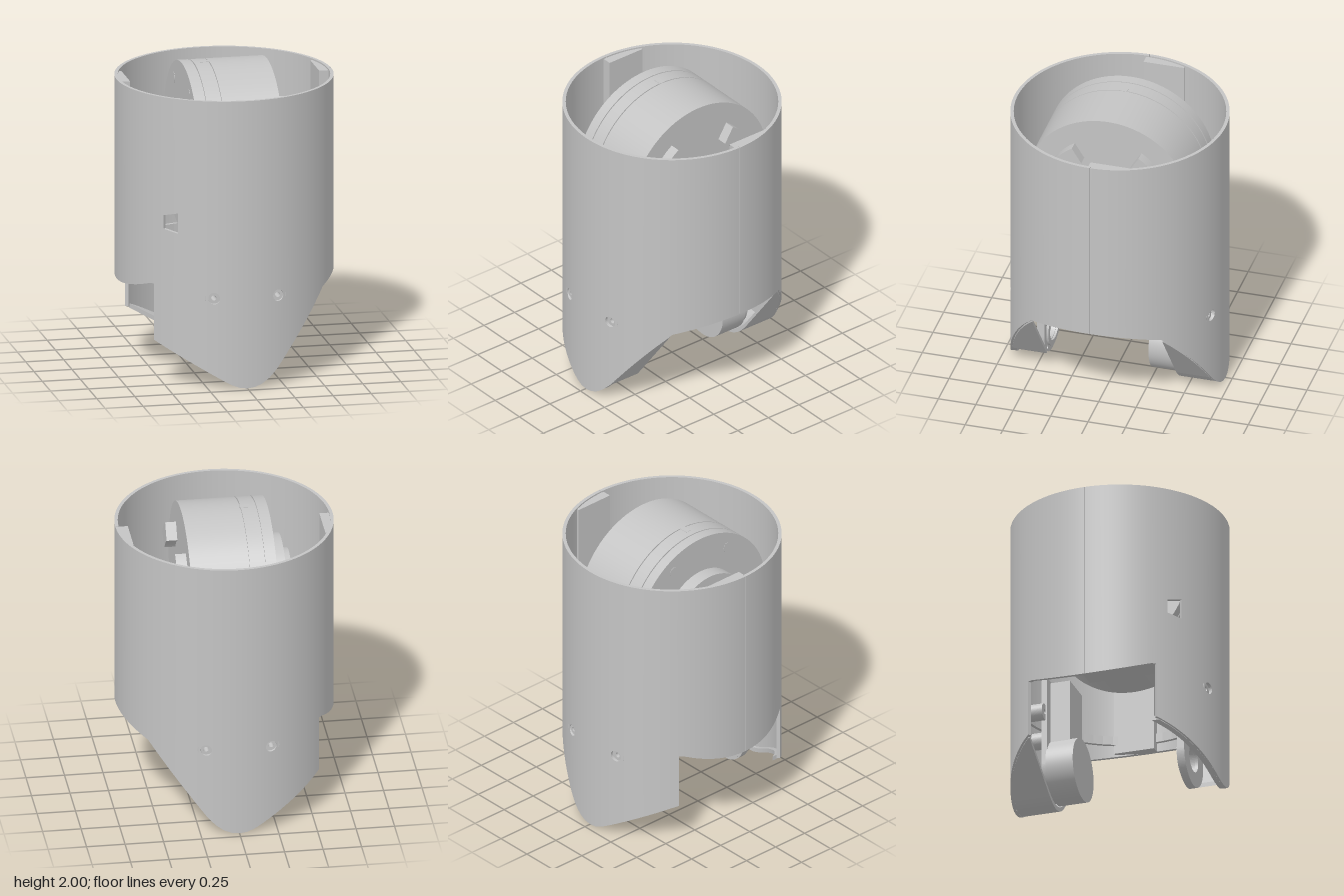
import * as THREE from 'three';
import { mergeGeometries } from 'three/addons/utils/BufferGeometryUtils.js';

const grey = new THREE.MeshStandardMaterial({ color: 0xc4c4c4, side: THREE.DoubleSide });
grey.name = 'grey';
const R = 0.705, RIN = 0.683, TOP = 1.91, DEG = Math.PI / 180;

// Lower edge of the housing as a height over x
const EDGE = [[-0.71, 0.585], [-0.58, 0.655], [-0.5551, 0.66], [-0.555, 0.285], [-0.15, 0.052], [-0.1, 0.025],
  [-0.05, 0.006], [0, 0], [0.05, 0.006], [0.1, 0.025], [0.15, 0.06], [0.2, 0.11], [0.555, 0.58], [0.71, 0.645]];
function edgeY(x) {
  for (let i = 1; i < EDGE.length; i++) {
    const [x0, y0] = EDGE[i - 1], [x1, y1] = EDGE[i];
    if (x <= x1) return y0 + (y1 - y0) * Math.max(0, (x - x0) / (x1 - x0));
  }
  return EDGE[EDGE.length - 1][1];
}

const polygon = (pts) => new THREE.Shape(pts.map((p) => new THREE.Vector2(...p)));
const circle = (x, y, r) => new THREE.Path().absarc(x, y, r, 0, Math.PI * 2, true);
function ringShape(x, y, outer, inner) {
  const s = new THREE.Shape().absarc(x, y, outer, 0, Math.PI * 2);
  s.holes.push(circle(x, y, inner));
  return s;
}

// One upright strip of the housing wall, cut flat and bent onto the cylinder
function wallStrip(a0, a1, hole) {
  const pts = [];
  for (let i = 0; i <= 4; i++) {
    const a = (a0 + 0.02 + (a1 - a0 - 0.04) * i / 4) * DEG;
    pts.push([R * (a0 + (a1 - a0) * i / 4) * DEG, edgeY(R * Math.sin(a))]);
  }
  for (let i = 4; i >= 0; i--) pts.push([R * (a0 + (a1 - a0) * i / 4) * DEG, TOP]);
  const shape = polygon(pts);
  if (hole) shape.holes.push(hole);
  const g = new THREE.ExtrudeGeometry(shape, { depth: R - RIN, bevelEnabled: false });
  const p = g.attributes.position, n = g.attributes.normal;
  for (let i = 0; i < p.count; i++) {
    const a = p.getX(i) / R, r = RIN + p.getZ(i), s = Math.sin(a), c = Math.cos(a);
    const nx = n.getX(i), nz = n.getZ(i);
    p.setXYZ(i, r * s, p.getY(i), r * c);
    n.setXYZ(i, nx * c + nz * s, n.getY(i), -nx * s + nz * c);
  }
  return g;
}

function housingGeometry() {
  const special = [];
  for (const a of [-162.6, -17.4, 17.4, 162.6]) {
    special.push({ a0: a - 4, a1: a + 4, hole: circle(R * a * DEG, 0.6, 0.038) });
  }
  const s = (x) => R * Math.asin(x / R);
  special.push({ a0: -47.5, a1: -35, hole: new THREE.Path([[-0.505, 1.035], [-0.505, 1.125], [-0.425, 1.15], [-0.425, 1.015]]
    .map(([x, y]) => new THREE.Vector2(s(x), y))) });
  const jump = Math.asin(0.555 / R) / DEG;
  const breaks = [-jump, jump - 180, -90.15, -89.85, 89.85, 90.15];
  for (let a = -180; a <= 180; a += 4) breaks.push(a);
  for (const h of special) breaks.push(h.a0, h.a1);
  const stops = breaks.filter((a) => !special.some((h) => a > h.a0 && a < h.a1)).sort((a, b) => a - b);
  const parts = [];
  for (let i = 1; i < stops.length; i++) {
    const a0 = stops[i - 1], a1 = stops[i], mid = (a0 + a1) / 2;
    if (a1 - a0 < 1e-6 || Math.abs(Math.abs(mid) - 90) < 0.1) continue; // seam gap
    parts.push(wallStrip(a0, a1, special.find((h) => mid > h.a0 && mid < h.a1)?.hole));
  }
  return mergeGeometries(parts);
}

// Sheet along the lower edge, from the wall in to the depth given by inner(x)
function skirtGeometry(x0, x1, side, inner) {
  const pos = [], rows = [], t = 0.03, n = 36;
  for (let i = 0; i <= n; i++) {
    const x = x0 + (x1 - x0) * i / n, y = edgeY(x) + 0.002;
    const zo = side * Math.max(0.435, Math.sqrt(0.69 * 0.69 - x * x)), zi = side * inner(x);
    rows.push([[x, y, zi], [x, y, zo], [x, y + t, zo], [x, y + t, zi]]);
  }
  const quad = (a, b, c, d) => pos.push(...a, ...b, ...c, ...a, ...c, ...d);
  for (let i = 0; i < n; i++) for (let k = 0; k < 4; k++) {
    quad(rows[i][k], rows[i][(k + 1) % 4], rows[i + 1][(k + 1) % 4], rows[i + 1][k]);
  }
  quad(...rows[0]);
  quad(...rows[n]);
  const g = new THREE.BufferGeometry();
  g.setAttribute('position', new THREE.Float32BufferAttribute(pos, 3));
  g.computeVertexNormals();
  return g;
}

// Plate with a round lower end
function platePanel(w, cy, top) {
  const s = new THREE.Shape();
  s.moveTo(w, top);
  s.lineTo(-w, top);
  s.lineTo(-w, cy);
  s.absarc(0, cy, w, Math.PI, Math.PI * 2, false);
  s.lineTo(w, top);
  return s;
}

export function createModel() {
  const model = new THREE.Group();
  const add = (name, geo, x = 0, y = 0, z = 0, parent = model) => {
    const m = new THREE.Mesh(geo, grey);
    m.name = name;
    m.position.set(x, y, z);
    parent.add(m);
    return m;
  };
  const box = (name, w, h, d, x, y, z, parent) => add(name, new THREE.BoxGeometry(w, h, d), x, y, z, parent);
  const discX = (name, r, x0, x1, y, z, parent, seg = 96) =>
    add(name, new THREE.CylinderGeometry(r, r, x1 - x0, seg).rotateZ(Math.PI / 2), (x0 + x1) / 2, y, z, parent);
  const discZ = (name, r, z0, z1, x, y, seg = 48) =>
    add(name, new THREE.CylinderGeometry(r, r, z1 - z0, seg).rotateX(Math.PI / 2), x, y, (z0 + z1) / 2);
  const extrude = (shape, depth) =>
    new THREE.ExtrudeGeometry(shape, { depth, bevelEnabled: false, curveSegments: 32 });
  const extrudeZ = (name, shape, z0, z1) => add(name, extrude(shape, z1 - z0), 0, 0, z0);
  const prismY = (name, shape, y0, y1) => add(name, extrude(shape, y1 - y0).rotateX(Math.PI / 2), 0, y1, 0);

  add('housing', housingGeometry());
  add('frontSkirt', skirtGeometry(0.19, 0.53, 1, () => 0.435));
  add('frontRim', skirtGeometry(-0.53, 0.19, 1, (x) => Math.sqrt(0.66 * 0.66 - x * x)));
  add('backSkirt', skirtGeometry(-0.53, 0.53, -1, () => 0.435));
  prismY('innerLip', ringShape(0, 0, 0.69, 0.662), 0.7, 0.76);

  // Thick ribs behind the side seams
  for (const s of [-1, 1]) {
    prismY('seamRib', polygon([[s * 0.622, -0.25], [s * 0.622, 0.02], [s * 0.69, 0.02], [s * 0.682, -0.1], [s * 0.642, -0.25]]), 0.64, 1.9);
  }
  // Ledge under the shaft
  prismY('sideLedge', polygon([[-0.685, -0.07], [-0.4, -0.07], [-0.4, 0.56], [-0.5, 0.475], [-0.6, 0.34], [-0.66, 0.2], [-0.69, 0]]), 0.665, 0.74);

  // Motor lying along x
  const motor = new THREE.Group();
  motor.name = 'motor';
  motor.position.y = 1.445;
  model.add(motor);
  for (const [name, r, x0, x1] of [
    ['motorCore', 0.543, -0.27, 0.27], ['motorBody', 0.555, -0.099, 0.28], ['motorBand', 0.555, -0.202, -0.106],
    ['motorCap', 0.555, -0.28, -0.209], ['frontFlange', 0.31, -0.37, -0.28], ['flangeStep', 0.21, -0.42, -0.37],
    ['shaftCollar', 0.095, -0.43, -0.42], ['shaft', 0.085, -0.48, -0.43], ['shaftEnd', 0.07, -0.515, -0.48]]) {
    discX(name, r, x0, x1, 0, 0, motor);
  }
  box('motorTab', 0.06, 0.009, 0.04, -0.13, 0.552, 0, motor);
  for (let i = 0; i < 6; i++) {
    const a = i * Math.PI / 3 + Math.PI / 6;
    discX('capScrew', 0.035, -0.282, -0.28, 0.46 * Math.cos(a), 0.46 * Math.sin(a), motor, 20);
  }
  // Curved feet on the far end of the motor
  for (let i = 0; i < 4; i++) {
    const mid = (45 + 90 * i) * DEG, half = 13 * DEG;
    const foot = new THREE.Shape();
    foot.absarc(0, 0, 0.42, mid - half, mid + half, false);
    foot.absarc(0, 0, 0.3, mid + half, mid - half, true);
    add('motorFoot', extrude(foot, 0.07).rotateY(Math.PI / 2), 0.28, 0, 0, motor);
  }

  // Hollow screw posts between wall and plates
  for (const x of [-0.21, 0.21]) {
    const post = ringShape(x, 0.6, 0.055, 0.017);
    extrudeZ('frontScrewPost', post, 0.45, 0.655);
    extrudeZ('backScrewPost', post, -0.655, -0.44);
  }

  // Front bearing plate with pockets
  const plate = platePanel(0.19, 0.22, 0.85);
  plate.holes.push(circle(0, 0.22, 0.11));
  const pocket = (pts) => plate.holes.push(new THREE.Path(pts.map((p) => new THREE.Vector2(...p))));
  pocket([[-0.1, 0.57], [-0.08, 0.55], [0.08, 0.55], [0.1, 0.57], [0.1, 0.76], [0.08, 0.78], [-0.08, 0.78], [-0.1, 0.76]]);
  for (const s of [-1, 1]) {
    pocket([[s * 0.02, 0.5], [s * 0.145, 0.5], [s * 0.165, 0.48], [s * 0.165, 0.37], [s * 0.14, 0.36], [s * 0.02, 0.42]]);
  }
  extrudeZ('bearingPlate', plate, 0.45, 0.48);
  const backing = platePanel(0.19, 0.22, 0.85);
  backing.holes.push(circle(0, 0.22, 0.09));
  extrudeZ('plateBacking', backing, 0.48, 0.5);
  extrudeZ('bearingRing', ringShape(0, 0.22, 0.15, 0.115), 0.435, 0.452);
  for (let i = 0; i < 4; i++) {
    const a = i * Math.PI / 2 + Math.PI / 4;
    discZ('plateScrew', 0.012, 0.445, 0.452, 0.17 * Math.cos(a), 0.22 + 0.17 * Math.sin(a), 16);
  }

  // Back plate with its large boss
  extrudeZ('backPlate', platePanel(0.19, 0.25, 0.85), -0.47, -0.43);
  discZ('backBoss', 0.21, -0.435, -0.25, 0, 0.25, 64);
  box('backBracket', 0.24, 0.42, 0.13, 0, 0.63, -0.365);
  return model;
}
